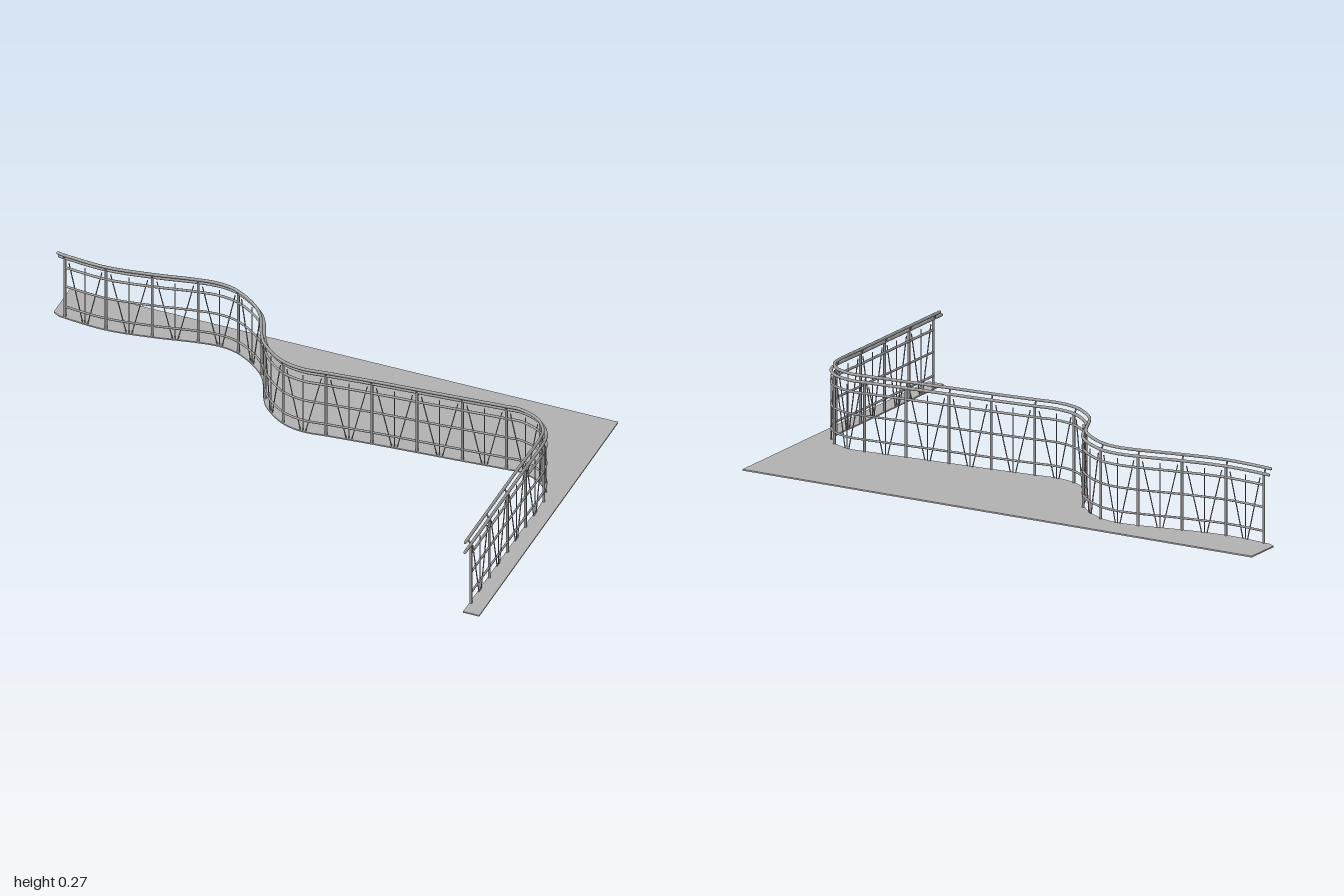
import * as THREE from 'three';

const deckMat = new THREE.MeshStandardMaterial({ color: 0xb0b0b0 });
deckMat.name = 'deckGrey';
const metalMat = new THREE.MeshStandardMaterial({ color: 0x9c9c9c });
metalMat.name = 'railingGrey';

// Plan of the railing, [x, z]; entries marked 1 only shape the bend, the others carry a post
const plan = [
  [-0.975, -0.456, 1], [-0.955, -0.453], [-0.8, -0.442], [-0.64, -0.463], [-0.485, -0.494],
  [-0.41, -0.502, 1], [-0.335, -0.488], [-0.215, -0.402], [-0.15, -0.275], [-0.125, -0.237, 1],
  [-0.04, -0.172], [0.04, -0.154, 1], [0.12, -0.162], [0.28, -0.178], [0.44, -0.191],
  [0.6, -0.204], [0.755, -0.217], [0.81, -0.22, 1], [0.89, -0.19], [0.935, -0.135, 1],
  [0.946, -0.085], [0.946, 0.073], [0.946, 0.231], [0.946, 0.39], [0.946, 0.55], [0.946, 0.603, 1],
];
const path = new THREE.CatmullRomCurve3(plan.map(([x, z]) => new THREE.Vector3(x, 0, z)));
path.arcLengthDivisions = 1000;
const samples = path.getSpacedPoints(1500);

// Arc position of the sample nearest to a plan point
function arcPosition([x, z]) {
  let best = 0, bestD = Infinity;
  samples.forEach((p, i) => {
    const d = (p.x - x) ** 2 + (p.z - z) ** 2;
    if (d < bestD) { bestD = d; best = i; }
  });
  return best / 1500;
}

// Point on the path at a height, moved toward the front by offset
function at(u, y, offset = 0) {
  const p = path.getPointAt(u), t = path.getTangentAt(u);
  return new THREE.Vector3(p.x - t.z * offset, y, p.z + t.x * offset);
}

function rod(parent, name, a, b, radius, sides = 8) {
  const dir = b.clone().sub(a);
  const mesh = new THREE.Mesh(new THREE.CylinderGeometry(radius, radius, dir.length(), sides), metalMat);
  mesh.name = name;
  mesh.position.copy(a).add(b).multiplyScalar(0.5);
  mesh.quaternion.setFromUnitVectors(new THREE.Vector3(0, 1, 0), dir.normalize());
  parent.add(mesh);
}

// Bent pipe following the path, with rounded ends
function pipe(parent, name, y, radius, u0, u1, offset = 0) {
  const pts = [];
  for (let i = 0; i <= 110; i++) pts.push(at(u0 + (u1 - u0) * i / 110, y, offset));
  const group = new THREE.Group();
  group.name = name;
  group.add(new THREE.Mesh(
    new THREE.TubeGeometry(new THREE.CatmullRomCurve3(pts), 220, radius, 10), metalMat));
  for (const p of [pts[0], pts[110]]) {
    const cap = new THREE.Mesh(new THREE.SphereGeometry(radius, 10, 6), metalMat);
    cap.position.copy(p);
    group.add(cap);
  }
  parent.add(group);
}

function createModel() {
  const model = new THREE.Group();
  model.name = 'curvedBalconyRailing';

  // Thin deck whose front edge follows the railing
  const outline = new THREE.Shape();
  outline.moveTo(-1, 0.465);
  for (let i = 0; i <= 120; i++) {
    const p = at(i / 120, 0, 0.005);
    outline.lineTo(p.x, -p.z);
  }
  outline.lineTo(0.941, -0.607);
  outline.lineTo(1, -0.607);
  outline.lineTo(1, 0.608);
  outline.lineTo(-1, 0.608);
  outline.closePath();
  const deckGeo = new THREE.ExtrudeGeometry(outline, { depth: 0.005, bevelEnabled: false });
  deckGeo.rotateX(-Math.PI / 2);
  const deck = new THREE.Mesh(deckGeo, deckMat);
  deck.name = 'deck';
  model.add(deck);

  const stops = plan.filter((p) => !p[2]).map(arcPosition);
  const first = stops[0], last = stops[stops.length - 1];

  // Handrails: a lower one on the posts and an upper one set slightly forward
  pipe(model, 'lowerHandrail', 0.248, 0.0055, 0, 1);
  pipe(model, 'upperHandrail', 0.267, 0.0055, 0, arcPosition([0.946, 0.572]), 0.011);

  // Horizontal rails between the end posts
  pipe(model, 'topRail', 0.209, 0.0045, first, last);
  pipe(model, 'middleRail', 0.131, 0.004, first, last);
  pipe(model, 'bottomRail', 0.047, 0.004, first, last);

  // Posts with small brackets for the upper handrail
  const posts = new THREE.Group();
  posts.name = 'posts';
  for (const u of stops) {
    rod(posts, 'post', at(u, 0.004), at(u, 0.247), 0.0047, 10);
    rod(posts, 'handrailBracket', at(u, 0.248, 0.002), at(u, 0.266, 0.011), 0.003);
  }
  model.add(posts);

  // Each bay: a V of slanted rods and a thin upright in the middle
  const infill = new THREE.Group();
  infill.name = 'bayRods';
  for (let i = 0; i < stops.length - 1; i++) {
    const a = stops[i], span = stops[i + 1] - a;
    rod(infill, 'slantedRod', at(a + span * 0.1, 0.232), at(a + span * 0.44, 0.004), 0.002, 6);
    rod(infill, 'slantedRod', at(a + span * 0.9, 0.232), at(a + span * 0.56, 0.004), 0.002, 6);
    rod(infill, 'uprightRod', at(a + span * 0.5, 0.004), at(a + span * 0.5, 0.232), 0.0017, 6);
  }
  model.add(infill);
  return model;
}

export { createModel };
